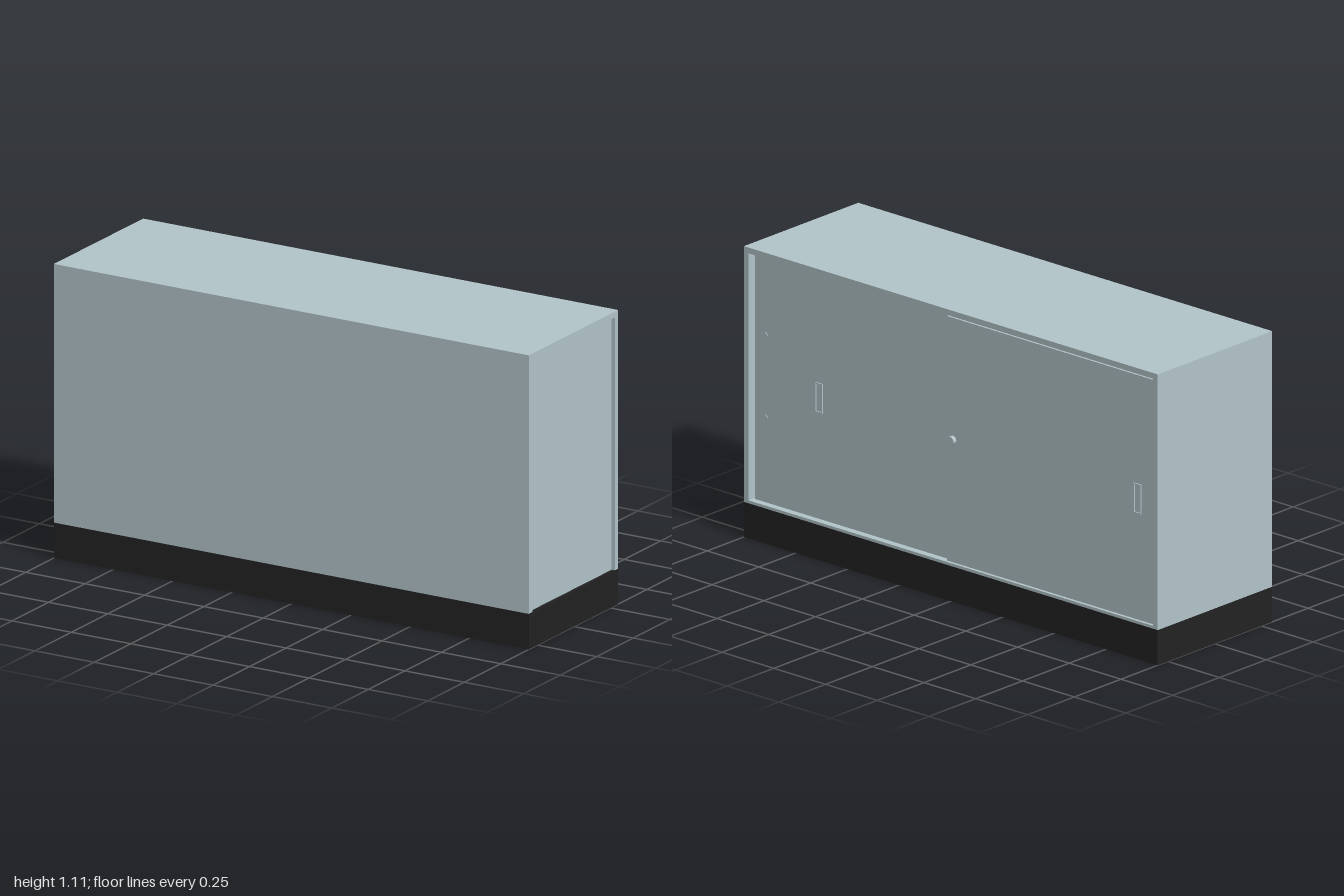
import * as THREE from 'three';

export function createModel() {
  const group = new THREE.Group();
  const paint = new THREE.MeshStandardMaterial({ color: 0xb2c4c9 });
  paint.name = 'blue grey paint';
  const black = new THREE.MeshStandardMaterial({ color: 0x222222 });
  black.name = 'black plinth';

  const add = (name, geometry, material = paint) => {
    const mesh = new THREE.Mesh(geometry, material);
    mesh.name = name;
    group.add(mesh);
    return mesh;
  };
  // Box given by its limits on each axis
  const slab = (name, [x0, x1], [y0, y1], [z0, z1], material) => {
    const mesh = add(name, new THREE.BoxGeometry(x1 - x0, y1 - y0, z1 - z0), material);
    mesh.position.set((x0 + x1) / 2, (y0 + y1) / 2, (z0 + z1) / 2);
    return mesh;
  };
  // Round fitting whose axis runs along z
  const disc = (name, x, y, z0, z1, radius) => {
    const mesh = add(name, new THREE.CylinderGeometry(radius, radius, z1 - z0, 24));
    mesh.rotation.x = Math.PI / 2;
    mesh.position.set(x, y, (z0 + z1) / 2);
  };

  const base = 0.134, top = 1.11, under = 1.088;
  const front = 0.308, back = -0.3035;
  const frontDoor = -0.2915, rearDoor = -0.2765, doorThick = 0.012;

  // Carcass
  slab('plinth', [-1, 1], [0, base], [back, front], black);
  slab('frontPanel', [-1, 1], [base, top], [0.283, front]);
  slab('topPanel', [-1, 1], [under, top], [back, 0.283]);
  slab('rightSidePanel', [-1, -0.978], [base, under], [back, 0.283]);
  slab('leftRecessedPanel', [0.978, 0.987], [base, under], [back, 0.283]);
  slab('leftBackPost', [0.987, 1], [base, under], [back, -0.28]);
  slab('bottomRail', [-0.978, 0.978], [base, 0.145], [back, -0.25]);
  slab('innerBody', [-0.978, 0.978], [base, under], [-0.25, 0.283]);

  // Two overlapping sliding doors on the back
  slab('outerSlidingDoor', [-0.974, 0.03], [0.145, 1.078], [frontDoor, frontDoor + doorThick]);
  slab('innerSlidingDoor', [-0.03, 0.97], [0.145, 1.078], [rearDoor, rearDoor + doorThick]);

  // Rimmed finger pulls
  const rect = (shape, w, h) => shape.moveTo(-w, -h).lineTo(w, -h).lineTo(w, h).lineTo(-w, h).closePath();
  const rim = rect(new THREE.Shape(), 0.018, 0.057);
  rim.holes.push(rect(new THREE.Path(), 0.013, 0.052));
  const rimGeometry = new THREE.ExtrudeGeometry(rim, { depth: 0.005, bevelEnabled: false });
  for (const [name, x, z] of [['innerDoorPull', 0.66, rearDoor], ['outerDoorPull', -0.892, frontDoor]]) {
    add(name, rimGeometry).position.set(x, 0.607, z - 0.005);
  }

  // Lock and door studs
  disc('lock', 0, 0.612, -0.308, frontDoor, 0.016);
  for (const y of [0.784, 0.47]) disc('doorStud', 0.92, y, rearDoor - 0.003, rearDoor, 0.01);

  return group;
}
